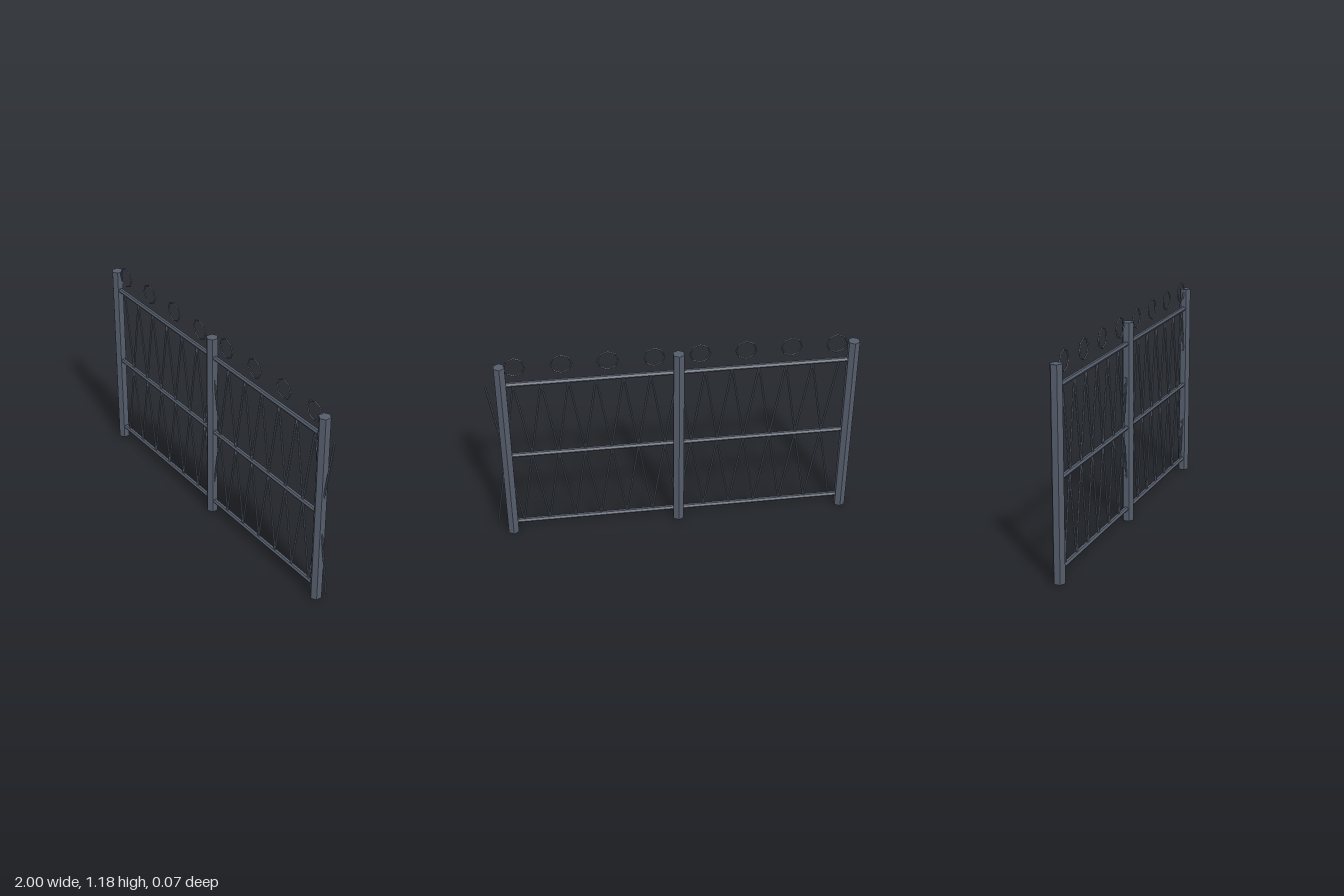
import * as THREE from 'three';

export function createModel() {
  const fence = new THREE.Group();
  fence.name = 'fence';
  const iron = new THREE.MeshStandardMaterial({ color: 0x555d6b, flatShading: true });

  function add(name, geometry, x = 0, y = 0, z = 0) {
    const mesh = new THREE.Mesh(geometry, iron);
    mesh.name = name;
    mesh.position.set(x, y, z);
    fence.add(mesh);
    return mesh;
  }

  // Straight six-sided rod between two points in the fence plane
  function addRod(name, radius, x1, y1, x2, y2) {
    const length = Math.hypot(x2 - x1, y2 - y1);
    const rod = add(name, new THREE.CylinderGeometry(radius, radius, length, 6), (x1 + x2) / 2, (y1 + y2) / 2);
    rod.rotation.z = -Math.atan2(x2 - x1, y2 - y1);
  }

  // Hexagonal posts
  const postX = [-0.971, -0.03, 0.911];
  for (const x of postX) addRod('post', 0.033, x, 0, x, 1.13);

  // Horizontal rails
  const railY = [0.072, 0.543, 1.014];
  for (const y of railY) addRod('rail', 0.0135, postX[0], y, postX[2], y);

  // Row of crossed lattice bars, running just past the last post
  const pitch = 0.1455;
  for (let i = 0; i < 13; i++) {
    const x = -0.9 + i * pitch;
    addRod('latticeBar', 0.006, x, railY[2], x + pitch, railY[0]);
    addRod('latticeBar', 0.006, x, railY[0], x + pitch, railY[2]);
  }

  // Eight-sided ornamental rings above the top rail
  const ringGeometry = new THREE.TorusGeometry(0.055, 0.0045, 4, 8);
  for (let i = 0; i < 8; i++) add('ring', ringGeometry, -0.879 + i * 0.2446, 1.122);

  return fence;
}
